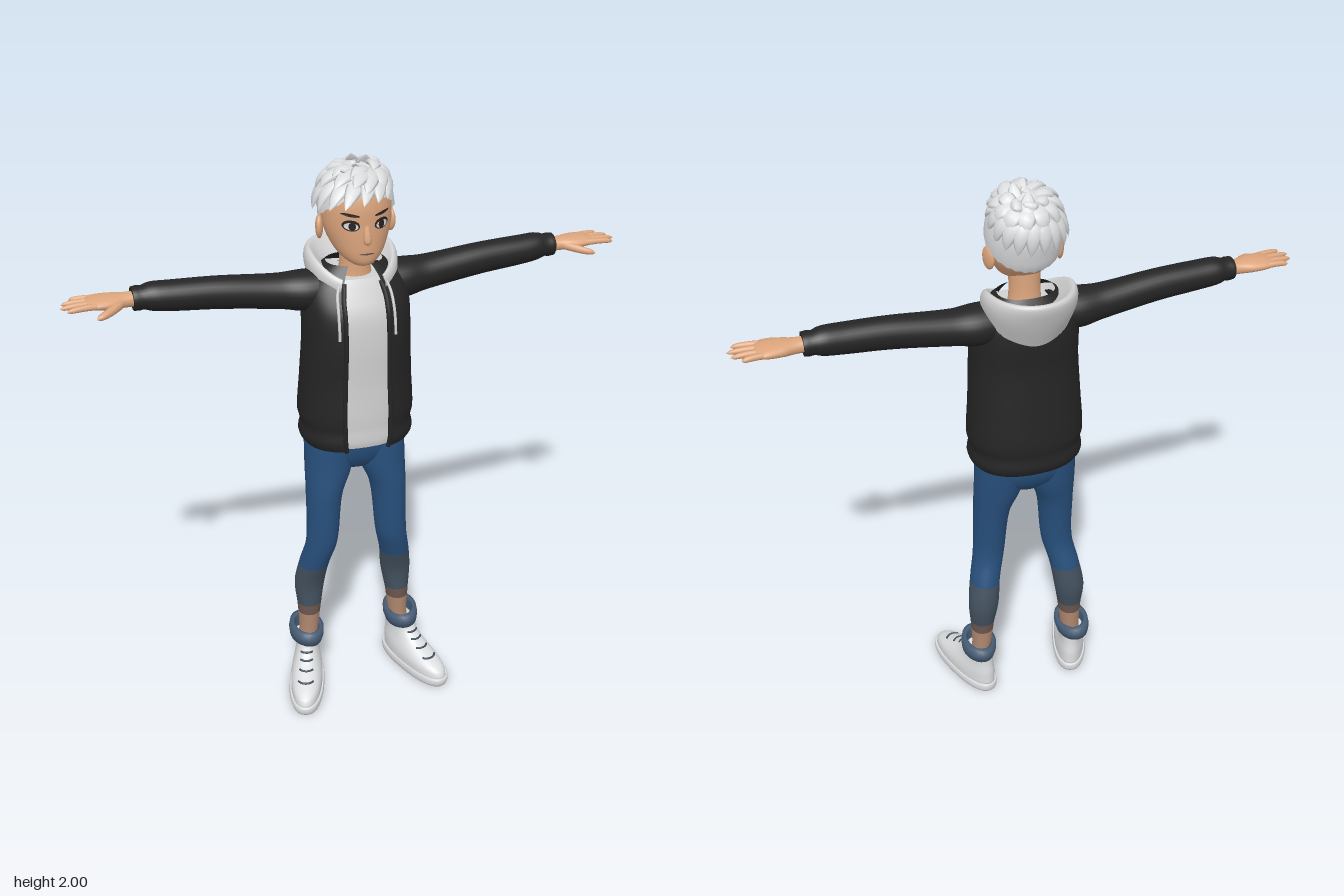
import * as THREE from 'three';

const mat = (name, color, side = THREE.FrontSide) => {
  const m = new THREE.MeshStandardMaterial({ color, side });
  m.name = name;
  return m;
};
const V = (x, y, z) => new THREE.Vector3(x, y, z);
const lerp = THREE.MathUtils.lerp;
const TAU = Math.PI * 2;

// Smooth surface from fn(u, v); v runs around the part, u along it
function grid(n, m, wrap, fn) {
  const pos = [], idx = [], cols = wrap ? m : m + 1;
  for (let i = 0; i <= n; i++) for (let j = 0; j < cols; j++) pos.push(...fn(i / n, j / m, i));
  for (let i = 0; i < n; i++) for (let j = 0; j < m; j++) {
    const k = (j + 1) % cols, a = i * cols + j, b = i * cols + k, c = a + cols, d = b + cols;
    idx.push(a, b, c, b, d, c);
  }
  const g = new THREE.BufferGeometry();
  g.setAttribute('position', new THREE.Float32BufferAttribute(pos, 3));
  g.setIndex(idx);
  g.computeVertexNormals();
  return g;
}

// Smooth interpolation of section rows [s, centre u, centre v, radius u, radius v]
function sampler(rows) {
  const slope = (i, k) => {
    const a = rows[Math.max(i - 1, 0)], b = rows[Math.min(i + 1, rows.length - 1)];
    return (b[k] - a[k]) / (b[0] - a[0]);
  };
  return s => {
    let i = 0;
    while (i < rows.length - 2 && s > rows[i + 1][0]) i++;
    const h = rows[i + 1][0] - rows[i][0], t = THREE.MathUtils.clamp((s - rows[i][0]) / h, 0, 1);
    const t2 = t * t, t3 = t2 * t;
    return [1, 2, 3, 4].map(k => (2 * t3 - 3 * t2 + 1) * rows[i][k] + (t3 - 2 * t2 + t) * h * slope(i, k)
      + (3 * t2 - 2 * t3) * rows[i + 1][k] + (t3 - t2) * h * slope(i + 1, k));
  };
}
const pw = (x, e) => Math.sign(x) * Math.abs(x) ** (2 / e);
function surf(at, s, a, e = 2, f = 1, grow = 1) {
  const [cu, cv, ru, rv] = at(s);
  return [cu + Math.max(ru, 0.001) * f * grow * pw(Math.sin(a), e), s, cv + Math.max(rv, 0.001) * f * grow * pw(Math.cos(a), e)];
}
// Loft through a sampler; gap leaves an opening at the front
function loft(at, s0, s1, n, { e = 2, gap = 0, cap = true, alongX = false, grow = 1, m = 36 } = {}) {
  const steps = Array.from({ length: n + 1 }, (_, i) => [lerp(s0, s1, i / n), 1]);
  if (cap) {
    steps.unshift([s0, 0], [s0, 0.97]);
    steps.push([s1, 0.97], [s1, 0]);
  }
  return grid(steps.length - 1, m, !gap, (u, v, i) => {
    const [x, y, z] = surf(at, steps[i][0], gap + v * (TAU - 2 * gap), e, steps[i][1], grow);
    return alongX ? [y, z, x] : [x, y, z];
  });
}
const bezier = (a, b, c) => new THREE.QuadraticBezierCurve3(a, b, c);
// Tapered strand: size(t) returns [half width, half thickness]
function strand(curve, size, up = V(0, 1, 0), n = 10, m = 8) {
  return grid(n, m, true, (u, v) => {
    const p = curve.getPoint(u), T = curve.getTangent(u);
    const B = T.clone().cross(up).normalize(), N = B.clone().cross(T), [w, h] = size(u);
    p.addScaledVector(B, w * Math.cos(v * TAU)).addScaledVector(N, -h * Math.sin(v * TAU));
    return p.toArray();
  });
}
const cord = r => () => [r, r];
const rounded = r => t => [r * Math.sqrt(1 - t ** 8) * (1 - 0.25 * t), r * 0.9 * Math.sqrt(1 - t ** 8) * (1 - 0.25 * t)];

function mirrored(g) {
  const c = g.clone().scale(-1, 1, 1), ix = c.index;
  for (let i = 0; i < ix.count; i += 3) {
    const b = ix.getX(i + 1);
    ix.setX(i + 1, ix.getX(i + 2));
    ix.setX(i + 2, b);
  }
  return c;
}

export function createModel() {
  const M = {
    white: mat('white', 0xdcdddf, THREE.DoubleSide), grey: mat('light grey cloth', 0xd0d0d0, THREE.DoubleSide),
    jacket: mat('black cloth', 0x242424, THREE.DoubleSide), jeans: mat('blue denim', 0x28507d),
    faded: mat('faded denim', 0x42505e), band: mat('brown band', 0x6c5850), cuff: mat('cuff denim', 0x4a6079),
    skin: mat('skin', 0xdca57d), ankle: mat('ankle skin', 0xb08870), dark: mat('dark brown', 0x2c2320),
  };
  const model = new THREE.Group();
  const add = (name, g, m, parent = model) => {
    const mesh = new THREE.Mesh(g, m);
    mesh.name = name;
    parent.add(mesh);
    return mesh;
  };
  const both = (name, g, m, L, R) => { add(name, g, m, L); add(name, mirrored(g), m, R); };
  const pair = name => ['left', 'right'].map(s => {
    const g = new THREE.Group();
    g.name = s + name;
    model.add(g);
    return g;
  });

  // Legs, split by height into the colours of the trousers
  const [legL, legR] = pair('Leg');
  const leg = sampler([[0.12, 0.185, -0.04, 0.034, 0.04], [0.2, 0.176, -0.045, 0.035, 0.041], [0.3, 0.172, -0.046, 0.043, 0.046],
    [0.4, 0.167, -0.052, 0.055, 0.053], [0.5, 0.153, -0.03, 0.054, 0.059], [0.6, 0.131, -0.006, 0.056, 0.061],
    [0.8, 0.118, -0.012, 0.064, 0.078], [0.9, 0.098, -0.025, 0.083, 0.09], [1.02, 0.09, -0.035, 0.088, 0.1]]);
  [['ankle', 0.12, 0.275, M.ankle], ['ankleBand', 0.275, 0.315, M.band], ['lowerTrouser', 0.315, 0.49, M.faded],
    ['upperTrouser', 0.49, 1.02, M.jeans]].forEach(([name, a, b, m]) => both(name, loft(leg, a, b, 18, { cap: false }), m, legL, legR));
  add('hips', loft(sampler([[0.9, 0, -0.03, 0.06, 0.06], [0.94, 0, -0.033, 0.15, 0.088], [1, 0, -0.035, 0.178, 0.105],
    [1.08, 0, -0.03, 0.175, 0.1]]), 0.9, 1.08, 10, { e: 2.2 }), M.jeans);
  const cuff = new THREE.LatheGeometry([[0.042, -0.025], [0.058, -0.027], [0.063, 0], [0.061, 0.025], [0.05, 0.028], [0.042, 0.02], [0.042, -0.025]]
    .map(p => new THREE.Vector2(...p)), 28).scale(1, 1, 1.4).rotateZ(0.1).translate(0.187, 0.19, -0.04);
  both('rolledCuff', cuff, M.cuff, legL, legR);

  // Shoes, toes turned out
  const [shoeL, shoeR] = pair('Shoe');
  const shoe = (name, g, m) => both(name, g.rotateY(0.32).translate(0.185, 0, -0.035), m, shoeL, shoeR);
  shoe('sole', loft(sampler([[0, 0, 0.093, 0.061, 0.172], [0.015, 0, 0.094, 0.065, 0.176], [0.032, 0, 0.094, 0.063, 0.175]]),
    0, 0.032, 4, { e: 2.4 }), M.white);
  const upper = sampler([[0.03, 0, 0.094, 0.058, 0.17], [0.06, 0, 0.086, 0.058, 0.161], [0.085, 0, 0.058, 0.053, 0.132],
    [0.11, 0, 0.03, 0.046, 0.1], [0.14, 0, 0.008, 0.042, 0.076], [0.168, 0, 0, 0.044, 0.068]]);
  shoe('upper', loft(upper, 0.03, 0.168, 16, { e: 2.2 }), M.white);
  for (let i = 0; i < 4; i++) {
    const p = a => V(...surf(upper, 0.085 + i * 0.019, a, 2.2, 1, 1.02));
    shoe('lace', strand(new THREE.CatmullRomCurve3([-0.5, -0.25, 0, 0.25, 0.5].map(p)), cord(0.004), V(0, 1, 0), 10, 6), M.faded);
  }

  // Shirt and open jacket
  const torso = sampler([[1.015, 0, -0.02, 0.183, 0.145], [1.035, 0, -0.022, 0.197, 0.153], [1.065, 0, -0.022, 0.195, 0.152],
    [1.08, 0, -0.022, 0.19, 0.149], [1.12, 0, -0.024, 0.199, 0.153], [1.25, 0, -0.02, 0.191, 0.145], [1.4, 0, -0.012, 0.183, 0.138],
    [1.5, 0, -0.018, 0.181, 0.133], [1.57, 0, -0.03, 0.172, 0.112], [1.62, 0, -0.035, 0.135, 0.088], [1.66, 0, -0.035, 0.08, 0.06]]);
  add('shirt', loft(torso, 1.025, 1.61, 24, { e: 2.3, grow: 0.94 }), M.grey);
  add('jacketBody', loft(torso, 1.015, 1.65, 44, { e: 2.3, gap: 0.36, cap: false, m: 56 }), M.jacket);
  for (const s of [1, -1]) {
    const edge = Array.from({ length: 14 }, (_, i) => V(...surf(torso, 1.016 + i * 0.045, s * 0.36, 2.3)));
    add('jacketEdge', strand(new THREE.CatmullRomCurve3(edge), cord(0.008), V(1, 0, 0), 40), M.jacket);
    const string = [1.61, 1.57, 1.52, 1.47, 1.43].map(y => V(...surf(torso, y, s * 0.47, 2.3, 1, 1.04)));
    add('drawstring', strand(new THREE.CatmullRomCurve3(string), cord(0.005), V(1, 0, 0), 16), M.grey);
  }

  // Hood lying on the back: cross-sections from neck over the rim to the outer edge
  const hoodCross = a => {
    const back = (1 - Math.cos(a)) / 2, b2 = back ** 3, s = Math.sin(a), c = Math.cos(a);
    const rimY = 1.605 + 0.08 * Math.sin(Math.min(back * 1.6, 1) * Math.PI / 2);
    return new THREE.CatmullRomCurve3([
      V(0.078 * s, lerp(1.595, 1.615, back), -0.035 + 0.085 * c), V(0.115 * s, rimY - 0.025, -0.06 + 0.118 * c),
      V(0.138 * s, rimY, -0.07 + 0.148 * c), V(0.15 * s, rimY - 0.012, -0.07 + 0.157 * c),
      V(0.155 * s, lerp(rimY - 0.035, 1.61, b2), -0.068 + lerp(0.157, 0.14, b2) * c),
      V(lerp(0.15, 0.1, b2) * s, lerp(1.575, 1.51, b2), -0.06 + lerp(0.145, 0.1, b2) * c)]);
  };
  add('hood', grid(18, 48, false, (u, v) => hoodCross(0.5 + v * (TAU - 1)).getPoint(u).toArray()), M.grey);

  // Arms and hands, the right one reaching slightly forward
  const [armL, armR] = pair('Arm');
  armR.rotation.y = 0.045;
  const sleeve = sampler([[0.08, -0.04, 1.565, 0.07, 0.06], [0.17, -0.045, 1.559, 0.075, 0.067], [0.25, -0.05, 1.565, 0.062, 0.059],
    [0.45, -0.055, 1.588, 0.052, 0.054], [0.6, -0.06, 1.598, 0.05, 0.05], [0.67, -0.064, 1.603, 0.047, 0.046],
    [0.69, -0.065, 1.603, 0.039, 0.038], [0.705, -0.065, 1.603, 0.042, 0.04], [0.725, -0.065, 1.603, 0.04, 0.038]]);
  both('sleeve', loft(sleeve, 0.08, 0.725, 40, { alongX: true, m: 28 }), M.jacket, armL, armR);
  const palm = sampler([[0.7, -0.065, 1.603, 0.026, 0.024], [0.75, -0.065, 1.603, 0.032, 0.022], [0.79, -0.065, 1.605, 0.046, 0.021],
    [0.84, -0.067, 1.607, 0.05, 0.017], [0.868, -0.068, 1.607, 0.043, 0.011]]);
  both('palm', loft(palm, 0.7, 0.868, 14, { alongX: true, e: 2.3, m: 24 }), M.skin, armL, armR);
  [[-0.03, 0.935, -0.018], [-0.055, 0.952, -0.05], [-0.08, 0.944, -0.082], [-0.102, 0.915, -0.114]].forEach(([z, tx, tz]) => both('finger',
    strand(bezier(V(0.835, 1.607, z), V(0.89, 1.612, (z + tz) / 2), V(tx, 1.606, tz)), rounded(0.0125)), M.skin, armL, armR));
  both('thumb', strand(bezier(V(0.76, 1.602, -0.05), V(0.8, 1.595, 0), V(0.852, 1.585, 0.02)), rounded(0.017)), M.skin, armL, armR);

  // Neck and head
  add('neck', loft(sampler([[1.56, 0, -0.03, 0.068, 0.065], [1.63, 0, -0.025, 0.052, 0.052], [1.75, 0, -0.02, 0.052, 0.055]]), 1.56, 1.75, 10), M.skin);
  const skull = sampler([[1.662, 0, 0.058, 0.012, 0.014], [1.672, 0, 0.053, 0.038, 0.04], [1.7, 0, 0.027, 0.072, 0.075], [1.75, 0, 0, 0.099, 0.105],
    [1.8, 0, -0.01, 0.112, 0.115], [1.86, 0, -0.015, 0.112, 0.12], [1.91, 0, -0.015, 0.098, 0.107], [1.945, 0, -0.015, 0.07, 0.08], [1.965, 0, -0.015, 0.015, 0.015]]);
  add('head', loft(skull, 1.662, 1.965, 36), M.skin);
  add('nose', strand(bezier(V(0, 1.815, 0.096), V(0, 1.775, 0.106), V(0, 1.742, 0.112)),
    t => [(0.008 + 0.009 * t) * Math.sqrt(1 - t ** 6), (0.006 + 0.008 * t) * Math.sqrt(1 - t ** 6)], V(0, 0, 1)), M.skin);
  both('ear', new THREE.SphereGeometry(1, 16, 12).scale(0.013, 0.04, 0.028).rotateY(0.35).translate(0.118, 1.775, -0.025), M.skin, model, model);

  // Painted face details laid on the head surface
  const plate = (x, y, w, h, rot, off) => {
    const g = new THREE.CircleGeometry(1, 24).scale(w, h, 1).rotateZ(rot).translate(x, y, 0), p = g.attributes.position;
    for (let i = 0; i < p.count; i++) {
      const [, cz, rx, rz] = skull(p.getY(i));
      p.setZ(i, cz + rz * Math.sqrt(Math.max(0, 1 - (p.getX(i) / rx) ** 2)) + off);
    }
    g.computeVertexNormals();
    return g;
  };
  [['lashes', 0.05, 1.808, 0.026, 0.018, 0.1, 0.002, M.dark], ['eyeWhite', 0.05, 1.806, 0.021, 0.012, 0.1, 0.004, M.white],
    ['iris', 0.048, 1.807, 0.011, 0.013, 0, 0.006, M.dark], ['brow', 0.052, 1.842, 0.028, 0.005, 0.15, 0.003, M.dark]]
    .forEach(([name, x, y, w, h, r, o, m]) => both(name, plate(x, y, w, h, r, o), m, model, model));
  add('mouth', plate(0, 1.713, 0.026, 0.003, 0, 0.003), M.band);

  // Hair: close-cropped cap with a hairline dropping to the nape
  const C = V(0, 1.83, -0.015);
  add('hairCap', grid(20, 48, true, (u, v) => {
    const a = v * TAU, low = 1.9 - 0.15 * ((1 - Math.cos(a)) / 2) ** 0.8 + 0.006 * (Math.round(v * 48) % 2);
    return V(...surf(skull, lerp(low, 1.965, u), a)).sub(C).multiplyScalar(1.08).add(C).toArray();
  }), M.white);

  // Layered locks swirling out from the crown and swept forward to the right
  const lock = (root, tip, lift, w) => {
    const mid = root.clone().lerp(tip, 0.5).sub(C).setLength(lift).add(C);
    const size = t => { const k = Math.sin(Math.PI * (0.22 + 0.78 * t)) ** 0.7; return [w * k, w * 0.42 * k]; };
    add('hairLock', strand(bezier(root, mid, tip), t => t === 1 ? [0, 0] : size(t), mid.clone().sub(C), 9, 8), M.white);
  };
  [[17, 1, 1.89, 1.805, 0.168, 0.03], [12, 0.9, 1.93, 1.86, 0.178, 0.03], [8, 0.66, 1.965, 1.93, 0.178, 0.026]].forEach(([n, r, yF, yB, lift, w], layer) => {
    for (let k = 0; k < n; k++) {
      const wob = Math.sin(k * 12.9 + layer * 4.1), a = TAU * (k + layer * 0.4) / n + 0.1 * wob, back = (1 - Math.cos(a)) / 2;
      const tip = V(r * 0.128 * Math.sin(a) - 0.03 * (1 - back), lerp(yF, yB, back) + 0.012 * wob, -0.015 + r * lerp(0.178, 0.124, back) * Math.cos(a));
      lock(V(0.02 + 0.035 * Math.sin(a + 0.8), 1.945, -0.04 + 0.035 * Math.cos(a + 0.8)), tip, lift, w);
    }
  });
  // Upright tufts on top
  [[0.03, 2, 0.0], [-0.02, 1.99, 0.05], [-0.07, 1.975, 0.06], [0.0, 1.99, -0.06], [0.08, 1.965, 0.0]].forEach(([x, y, z]) =>
    lock(V(x * 0.5 + 0.02, 1.94, z - 0.05), V(x, y, z), 0.145, 0.024));
  return model;
}
